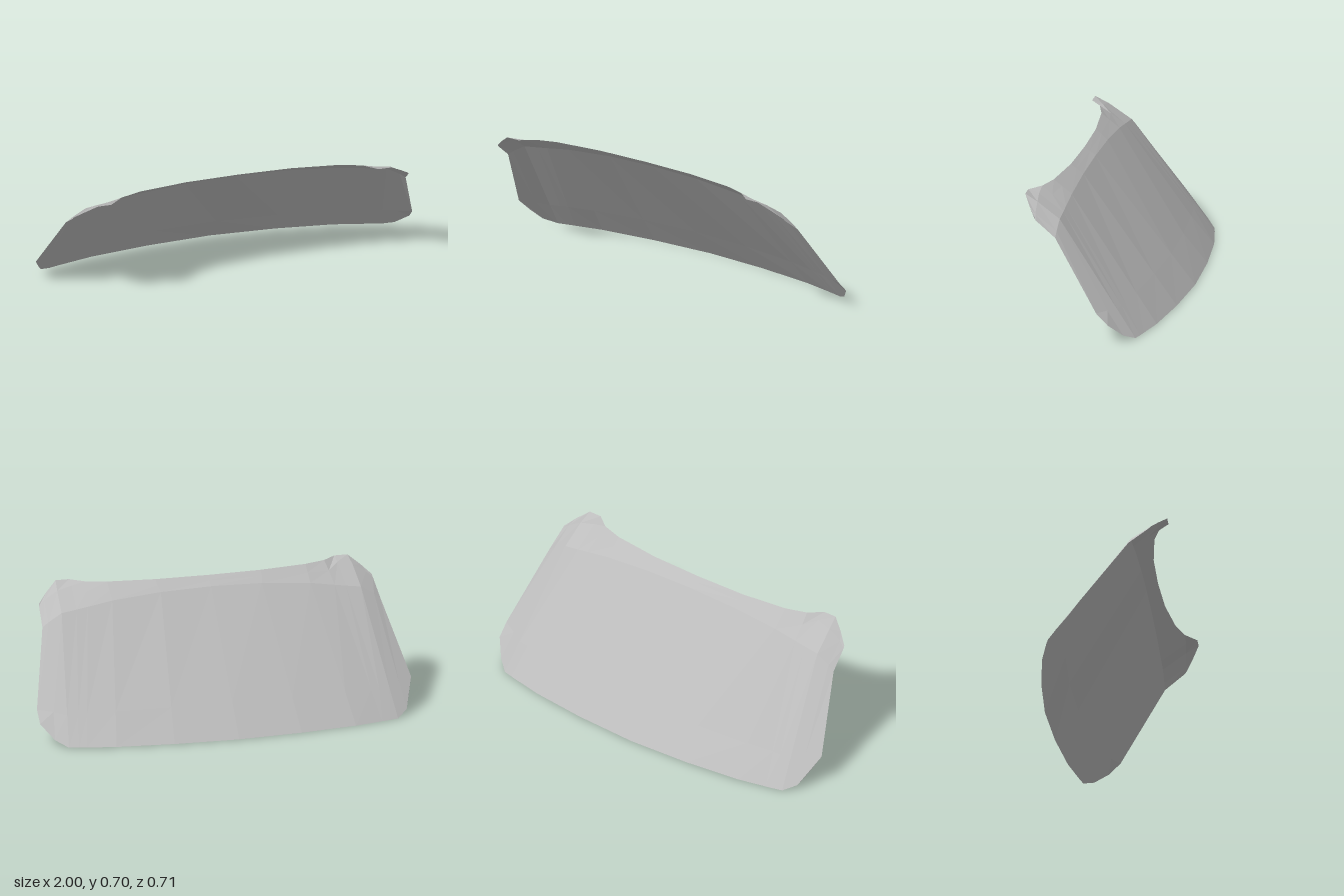
import * as THREE from 'three';

// Half of the pane as columns from the centre line outwards.
// Each column: bottom edge, crease, upper band, top edge.
const COLUMNS = [
  [[0, 0, -0.357], [0, 0.662, 0.17], [0, 0.684, 0.2], [0, 0.705, 0.228]],
  [[0.34, 0, -0.34], [0.27, 0.655, 0.17], [0.28, 0.682, 0.205], [0.28, 0.705, 0.235]],
  [[0.64, 0, -0.305], [0.53, 0.632, 0.17], [0.53, 0.672, 0.222], [0.53, 0.705, 0.265]],
  [[0.79, 0, -0.272], [0.66, 0.61, 0.17], [0.65, 0.665, 0.245], [0.64, 0.705, 0.3]],
  [[0.83, 0, -0.263], [0.72, 0.6, 0.17], [0.71, 0.688, 0.3], [0.71, 0.705, 0.357]],
  [[0.88, 0, -0.25], [0.8, 0.588, 0.17], [0.79, 0.67, 0.29], [0.78, 0.705, 0.357]],
  [[0.94, 0.03, -0.2], [0.87, 0.545, 0.17], [0.86, 0.628, 0.285], [0.84, 0.658, 0.32]],
  [[1, 0.1, -0.13], [0.903, 0.52, 0.17], [0.892, 0.6, 0.272], [0.89, 0.612, 0.282]],
];

// Adds a row above the bottom edge and mirrors the column to one side
function columnPoints(index, side) {
  const [bottom, crease, band, top] = COLUMNS[index].map(p => new THREE.Vector3(...p));
  const low = bottom.clone().lerp(crease, 0.24);
  if (index === COLUMNS.length - 1) {
    low.set(1, 0.16, -0.07);
    if (side < 0) bottom.set(0.97, 0.09, -0.135); // the two lower corners are cut differently
  }
  return [bottom, low, crease, band, top].map(p => p.setX(p.x * side));
}

// Surface strip between two rows of the pane
function strip(columns, from, to) {
  const positions = [], indices = [];
  const rows = to - from + 1;
  for (const column of columns) {
    for (let r = from; r <= to; r++) positions.push(...column[r].toArray());
  }
  for (let c = 0; c < columns.length - 1; c++) {
    for (let r = 0; r < rows - 1; r++) {
      const a = c * rows + r, b = a + rows;
      indices.push(a, a + 1, b, b, a + 1, b + 1);
    }
  }
  const geometry = new THREE.BufferGeometry();
  geometry.setAttribute('position', new THREE.Float32BufferAttribute(positions, 3));
  geometry.setIndex(indices);
  geometry.computeVertexNormals();
  return geometry;
}

export function createModel() {
  const group = new THREE.Group();
  group.name = 'curvedWindowPane';
  const grey = new THREE.MeshStandardMaterial({
    name: 'paneGrey', color: 0xbcbcbc, flatShading: true, side: THREE.DoubleSide,
  });

  const columns = [];
  for (let i = COLUMNS.length - 1; i > 0; i--) columns.push(columnPoints(i, -1));
  for (let i = 0; i < COLUMNS.length; i++) columns.push(columnPoints(i, 1));

  // Sloping main pane, then the shallower band with its two forward ears
  for (const [name, from, to] of [['mainPane', 0, 2], ['upperBand', 2, 4]]) {
    const mesh = new THREE.Mesh(strip(columns, from, to), grey);
    mesh.name = name;
    group.add(mesh);
  }
  return group;
}
